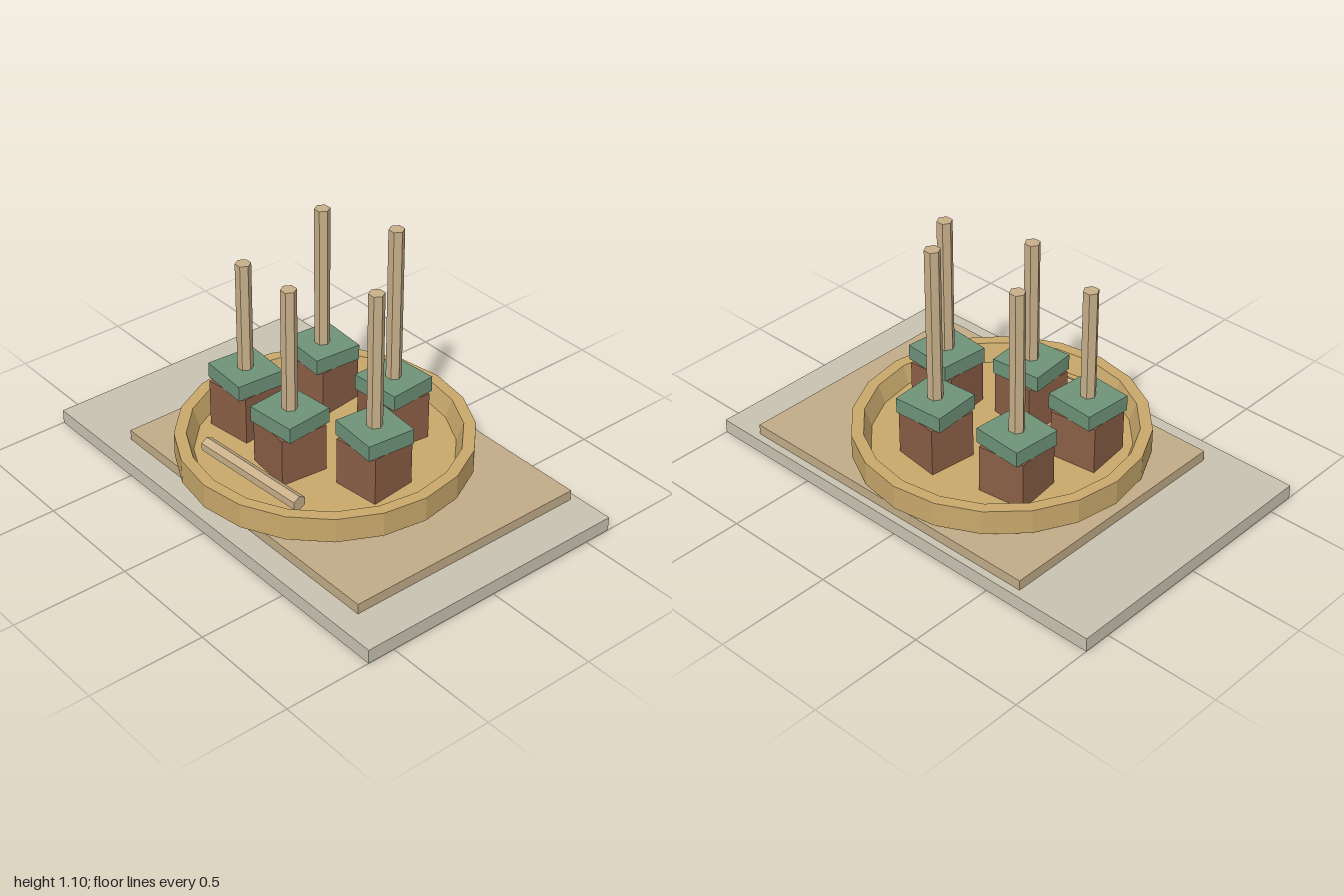
import * as THREE from 'three';

const flat = (name, color) => new THREE.MeshStandardMaterial({ name, color, flatShading: true });

export function createModel() {
  const stone = flat('paleStone', 0xc9c3b3);
  const mat = flat('tanMat', 0xc2ac88);
  const brass = flat('ochreTray', 0xc9a96c);
  const clay = flat('redBrown', 0x8b5f46);
  const green = flat('sageGreen', 0x6e9379);
  const wood = flat('paleWood', 0xc8b08a);

  const model = new THREE.Group();
  const add = (parent, name, geometry, material, x = 0, y = 0, z = 0) => {
    const mesh = new THREE.Mesh(geometry, material);
    mesh.name = name;
    mesh.position.set(x, y, z);
    parent.add(mesh);
    return mesh;
  };
  // Six-sided stick with corners on its x axis
  const stick = (length) => new THREE.CylinderGeometry(0.033, 0.033, length, 6, 1, false, Math.PI / 2);

  // Base board and the off-centre mat on it
  add(model, 'baseBoard', new THREE.BoxGeometry(2, 0.062, 1.244), stone, 0, 0.031, 0);
  add(model, 'mat', new THREE.BoxGeometry(1.46, 0.045, 1.11), mat, 0.09, 0.0845, -0.034);

  // Twenty-sided tray with a raised rim and sunken floor
  const profile = [
    [0, 0.092], [0.56, 0.092], [0.613, 0.122], [0.613, 0.23],
    [0.563, 0.23], [0.535, 0.15], [0, 0.15],
  ].map(([r, y]) => new THREE.Vector2(r, y));
  add(model, 'tray', new THREE.LatheGeometry(profile, 20), brass);

  // Five blocks: x, z, stick top, cap turn and block turn in degrees
  const blocks = [
    [-0.278, -0.212, 1.05, -4, 7],
    [0.107, -0.268, 1.10, 4, -7],
    [0.323, 0.018, 1.02, -5, 6],
    [0.018, 0.197, 0.965, 5, -6],
    [-0.326, 0.152, 0.91, -4, 7],
  ];
  for (const [x, z, top, capTurn, blockTurn] of blocks) {
    const group = new THREE.Group();
    group.name = 'cappedBlock';
    group.position.set(x, 0, z);
    model.add(group);
    const body = add(group, 'block', new THREE.BoxGeometry(0.21, 0.21, 0.21), clay, 0, 0.255, 0);
    body.rotation.y = THREE.MathUtils.degToRad(blockTurn);
    const cap = add(group, 'cap', new THREE.BoxGeometry(0.225, 0.068, 0.215), green, 0, 0.392, 0);
    cap.rotation.y = THREE.MathUtils.degToRad(capTurn);
    add(group, 'uprightStick', stick(top - 0.4), wood, 0, (top + 0.4) / 2, 0);
  }

  // Loose stick lying at the front of the tray, ridge upward
  const loose = add(model, 'looseStick', stick(0.55).rotateZ(Math.PI / 2), wood, 0.026, 0.202, 0.395);
  loose.rotation.y = 0.065;

  return model;
}
